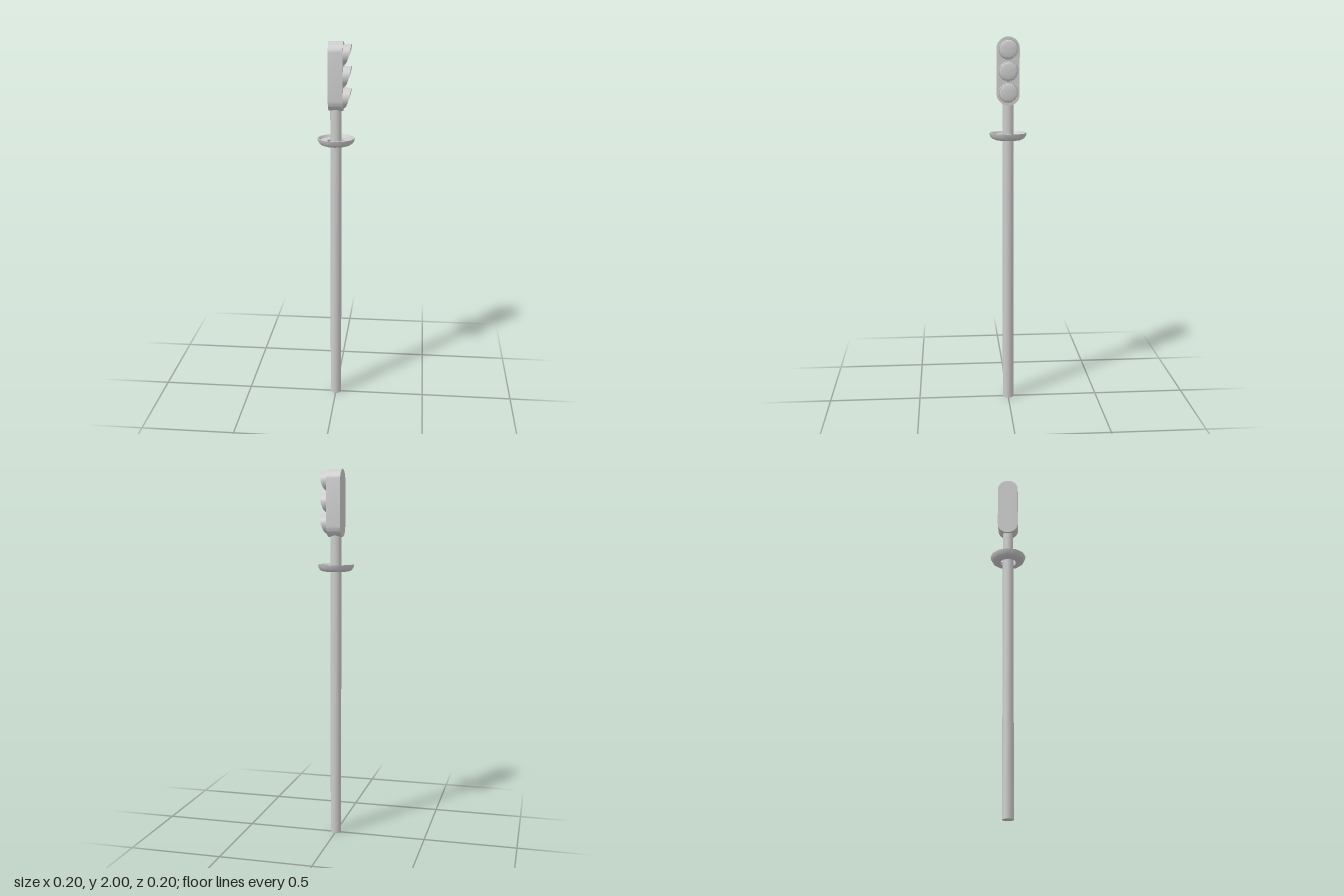
import * as THREE from 'three';
import { toCreasedNormals } from 'three/addons/utils/BufferGeometryUtils.js';

const material = new THREE.MeshStandardMaterial({ color: 0xcccccc });

function part(name, geometry) {
  const mesh = new THREE.Mesh(toCreasedNormals(geometry, 0.7), material);
  mesh.name = name;
  return mesh;
}

// Upright capsule outline, extruded along x
function housingGeometry(radius, bottom, top, back, depth) {
  const shape = new THREE.Shape();
  shape.absarc(0, top - radius, radius, 0, Math.PI);
  shape.absarc(0, bottom + radius, radius, Math.PI, Math.PI * 2);
  shape.closePath();
  return new THREE.ExtrudeGeometry(shape, { depth, bevelEnabled: false, curveSegments: 12 })
    .rotateY(Math.PI / 2)
    .translate(back, 0, 0);
}

// Ring whose front edge sweeps from a long top to a short bottom
function visorGeometry(radius, thickness, length) {
  const shape = new THREE.Shape().absarc(0, 0, radius, 0, Math.PI * 2);
  shape.holes.push(new THREE.Path().absarc(0, 0, radius - thickness, 0, Math.PI * 2, true));
  const geometry = new THREE.ExtrudeGeometry(shape, { depth: 1, bevelEnabled: false, curveSegments: 14 })
    .rotateY(Math.PI / 2);
  const pos = geometry.attributes.position;
  for (let i = 0; i < pos.count; i++) {
    if (pos.getX(i) < 0.5) continue;
    const t = THREE.MathUtils.clamp((pos.getY(i) + radius) / (2 * radius), 0, 1);
    pos.setX(i, 0.003 + (length - 0.003) * Math.sqrt(t));
  }
  geometry.computeVertexNormals();
  return geometry;
}

export function createModel() {
  const model = new THREE.Group();
  model.name = 'signalPost';

  // Pole, running up into the housing
  const pole = part('pole', new THREE.CylinderGeometry(0.03, 0.03, 1.67, 12));
  pole.position.y = 0.835;
  model.add(pole);

  // Dish-shaped collar with a gap around the pole
  const profile = [
    [0.046, 1.463], [0.07, 1.463], [0.086, 1.47], [0.096, 1.483], [0.1, 1.5],
    [0.093, 1.5], [0.086, 1.487], [0.046, 1.485], [0.046, 1.463],
  ].map(([r, y]) => new THREE.Vector2(r, y));
  model.add(part('collar', new THREE.LatheGeometry(profile, 12)));

  // Signal head
  const front = 0.039;
  model.add(part('housing', housingGeometry(0.058, 1.645, 2, -0.037, front + 0.037)));

  // Three lamps, each a shallow lens under a hooded visor
  [1.935, 1.823, 1.712].forEach((y, i) => {
    const lamp = new THREE.Group();
    lamp.name = `lamp${i + 1}`;
    lamp.position.set(front, y, 0);

    const lens = part('lens', new THREE.SphereGeometry(0.05, 24, 6, 0, Math.PI * 2, 0, Math.PI / 2)
      .scale(1, 0.18, 1)
      .rotateZ(-Math.PI / 2));
    lamp.add(lens, part('visor', visorGeometry(0.052, 0.003, 0.042)));
    model.add(lamp);
  });

  return model;
}
